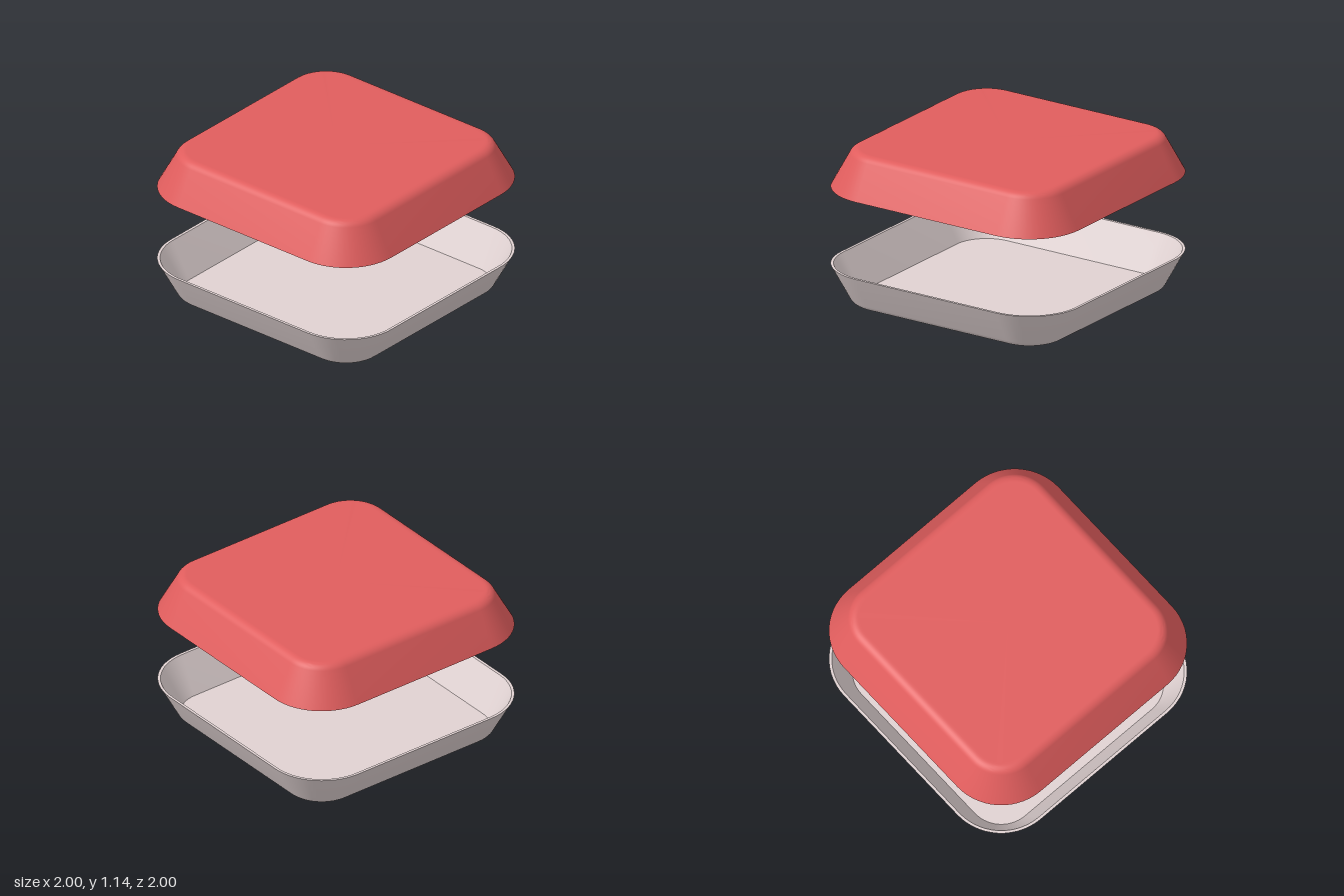
import * as THREE from 'three';
import { toCreasedNormals } from 'three/addons/utils/BufferGeometryUtils.js';

const HEIGHT = 0.285, TOTAL = 1.14; // tray depth, overall height
const CORNER = 0.59; // centre of the rounded corners
const SLOPE = 0.54; // wall run per unit of rise
const WALL = 0.02;
const CORNER_STEPS = 14;

// Rounded square of the given half width at height y
function ring(half, y) {
  const points = [];
  for (let q = 0; q < 4; q++) {
    const mid = (q + 0.5) * Math.PI / 2;
    const cx = Math.sign(Math.cos(mid)) * CORNER, cz = Math.sign(Math.sin(mid)) * CORNER;
    for (let s = 0; s <= CORNER_STEPS; s++) {
      const a = (q + s / CORNER_STEPS) * Math.PI / 2, r = half - CORNER;
      points.push([cx + r * Math.cos(a), y, cz + r * Math.sin(a)]);
    }
  }
  return points;
}

// Cross-section: outer base, fillet, flared wall, rim, inner wall, inner floor
function trayGeometry() {
  const tilt = Math.atan(SLOPE), fillet = 0.077, steps = 8;
  const sections = [ring(0.79, 0)];
  for (let i = 0; i <= steps; i++) {
    const a = -Math.PI / 2 + (Math.PI / 2 - tilt) * i / steps;
    sections.push(ring(0.8 + fillet * Math.cos(a), fillet + fillet * Math.sin(a)));
  }
  sections.push(ring(1, HEIGHT), ring(1 - WALL, HEIGHT));
  sections.push(ring(1 - WALL - SLOPE * (HEIGHT - WALL), WALL));

  const n = sections[0].length, last = sections.length - 1, index = [];
  for (let i = 0; i < last; i++) {
    for (let j = 0; j < n; j++) {
      const k = (j + 1) % n;
      const a = i * n + j, b = i * n + k, c = b + n, d = a + n;
      index.push(a, d, c, a, c, b);
    }
  }
  // Close the base and the inner floor with fans
  const base = sections.length * n, floor = base + 1;
  for (let j = 0; j < n; j++) {
    const k = (j + 1) % n;
    index.push(base, j, k, floor, last * n + k, last * n + j);
  }
  const geometry = new THREE.BufferGeometry();
  const positions = [...sections.flat(2), 0, 0, 0, 0, WALL, 0];
  geometry.setAttribute('position', new THREE.Float32BufferAttribute(positions, 3));
  geometry.setIndex(index);
  return toCreasedNormals(geometry, 0.6);
}

export function createModel() {
  const model = new THREE.Group();
  model.name = 'trayWithLid';
  const red = new THREE.MeshStandardMaterial({ name: 'red', color: 0xe05d5d });
  const paleGrey = new THREE.MeshStandardMaterial({ name: 'paleGrey', color: 0xe0d2d2 });
  const geometry = trayGeometry();

  const tray = new THREE.Mesh(geometry, paleGrey);
  tray.name = 'tray';

  // The lid is the same shell turned over
  const lid = new THREE.Mesh(geometry, red);
  lid.name = 'lid';
  lid.rotation.x = Math.PI;
  lid.position.y = TOTAL;

  model.add(tray, lid);
  return model;
}
